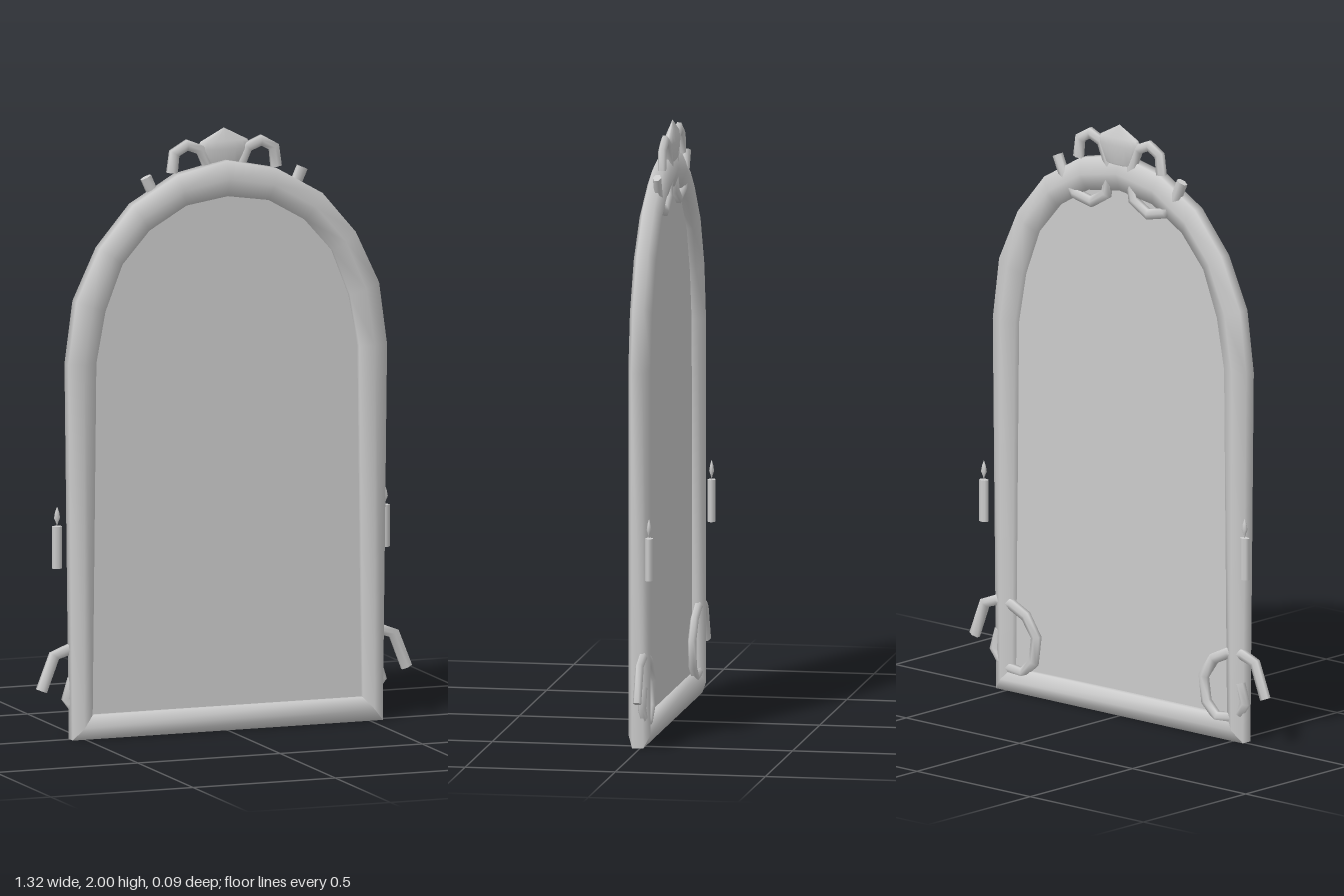
import * as THREE from 'three';

const grey = new THREE.MeshStandardMaterial({ color: 0xcccccc, side: THREE.DoubleSide });
grey.name = 'silver grey';

function add(parent, name, geometry) {
  const mesh = new THREE.Mesh(geometry, grey);
  mesh.name = name;
  parent.add(mesh);
  return mesh;
}

// Cross-section around centre c, spanned by the in-plane vector h and by depth rz
function ring(c, h, rz, z) {
  return Array.from({ length: 6 }, (_, k) => {
    const a = (k + 0.5) * Math.PI / 3;
    const u = Math.cos(a) / Math.cos(Math.PI / 6);
    return [c.x + h.x * u, c.y + h.y * u, z + Math.sin(a) * rz];
  });
}

// Skin over a row of cross-sections, with optional end caps
function loft(rings, caps) {
  const n = rings[0].length;
  const pos = rings.flat(2);
  const idx = [];
  for (let i = 0; i < rings.length - 1; i++) {
    for (let k = 0; k < n; k++) {
      const a = i * n + k, b = i * n + (k + 1) % n;
      idx.push(a, b, a + n, b, b + n, a + n);
    }
  }
  if (caps) {
    [rings[0], rings[rings.length - 1]].forEach((r, end) => {
      const base = pos.length / 3;
      pos.push(...r.flat());
      for (let k = 1; k < n - 1; k++) {
        if (end) idx.push(base, base + k, base + k + 1);
        else idx.push(base, base + k + 1, base + k);
      }
    });
  }
  const g = new THREE.BufferGeometry();
  g.setAttribute('position', new THREE.Float32BufferAttribute(pos, 3));
  g.setIndex(idx);
  g.computeVertexNormals();
  return g;
}

const v = (p, side = 1) => new THREE.Vector2(p[0] * side, p[1]);

// Scroll following a flat polyline
function scroll(points, side) {
  const path = points.map(p => v(p, side));
  const last = path.length - 1;
  return loft(path.map((p, i) => {
    const t = path[Math.min(i + 1, last)].clone().sub(path[Math.max(i - 1, 0)]).normalize();
    return ring(p, new THREE.Vector2(-t.y, t.x).multiplyScalar(0.018), 0.014, -0.008);
  }), true);
}

export function createModel() {
  const model = new THREE.Group();
  model.name = 'mirror';

  // Outer and inner outline of the frame, bottom corner to top
  const outer = [[0.545, 0], [0.56, 1.25], [0.532, 1.457], [0.45, 1.63], [0.333, 1.767], [0.175, 1.858], [0, 1.895]];
  const inner = [[0.475, 0.08], [0.462, 1.25], [0.43, 1.42], [0.37, 1.573], [0.275, 1.68], [0.145, 1.755], [0, 1.777]];
  const bothSides = half => [
    ...half.map(p => v(p, -1)),
    ...half.slice(0, -1).reverse().map(p => v(p)),
  ];
  const out = bothSides(outer), inn = bothSides(inner);
  const mid = out.map((p, i) => p.clone().add(inn[i]).multiplyScalar(0.5));
  const rings = out.map((p, i) => ring(mid[i], p.clone().sub(mid[i]), 0.037, 0.008));
  add(model, 'frameArch', loft(rings, false));
  add(model, 'frameBottom', loft([rings[rings.length - 1], rings[0]], false));

  // Glass pane inside the frame
  add(model, 'glass', new THREE.ShapeGeometry(new THREE.Shape(mid))).position.z = 0.01;

  // Flattened crest ornament
  const crest = [[0, 1.85], [0.07, 1.87], [0.095, 1.93], [0.083, 1.957], [0, 2]].map(p => v(p));
  const crestMesh = add(model, 'crest', new THREE.LatheGeometry(crest, 16));
  crestMesh.scale.z = 0.2;
  crestMesh.position.z = -0.01;

  // Scrolls running through the frame at the top and the bottom corners
  const topScroll = [[0.275, 1.852], [0.245, 1.785], [0.2, 1.735], [0.125, 1.718], [0.06, 1.755],
    [0.045, 1.85], [0.08, 1.93], [0.13, 1.95], [0.175, 1.925], [0.183, 1.86]];
  const cornerScroll = [[0.642, 0.165], [0.597, 0.28], [0.54, 0.3], [0.48, 0.295], [0.415, 0.265],
    [0.37, 0.2], [0.382, 0.115], [0.43, 0.07], [0.51, 0.08], [0.552, 0.135], [0.53, 0.2]];

  const flame = [[0, 0], [0.003, 0.012], [0.011, 0.03], [0.007, 0.05], [0, 0.068]].map(p => v(p));
  for (const side of [-1, 1]) {
    const label = side > 0 ? 'left' : 'right';
    add(model, label + 'TopScroll', scroll(topScroll, side));
    add(model, label + 'CornerScroll', scroll(cornerScroll, side));

    // Candle with its flame
    const candle = new THREE.Group();
    candle.name = label + 'Candle';
    candle.position.set(side * 0.576, 0.565, -0.036);
    candle.scale.z = 0.75;
    add(candle, 'candleStick', new THREE.CylinderGeometry(0.018, 0.018, 0.14, 8)).position.y = 0.07;
    add(candle, 'flame', new THREE.LatheGeometry(flame, 8)).position.y = 0.138;
    model.add(candle);
  }
  return model;
}
